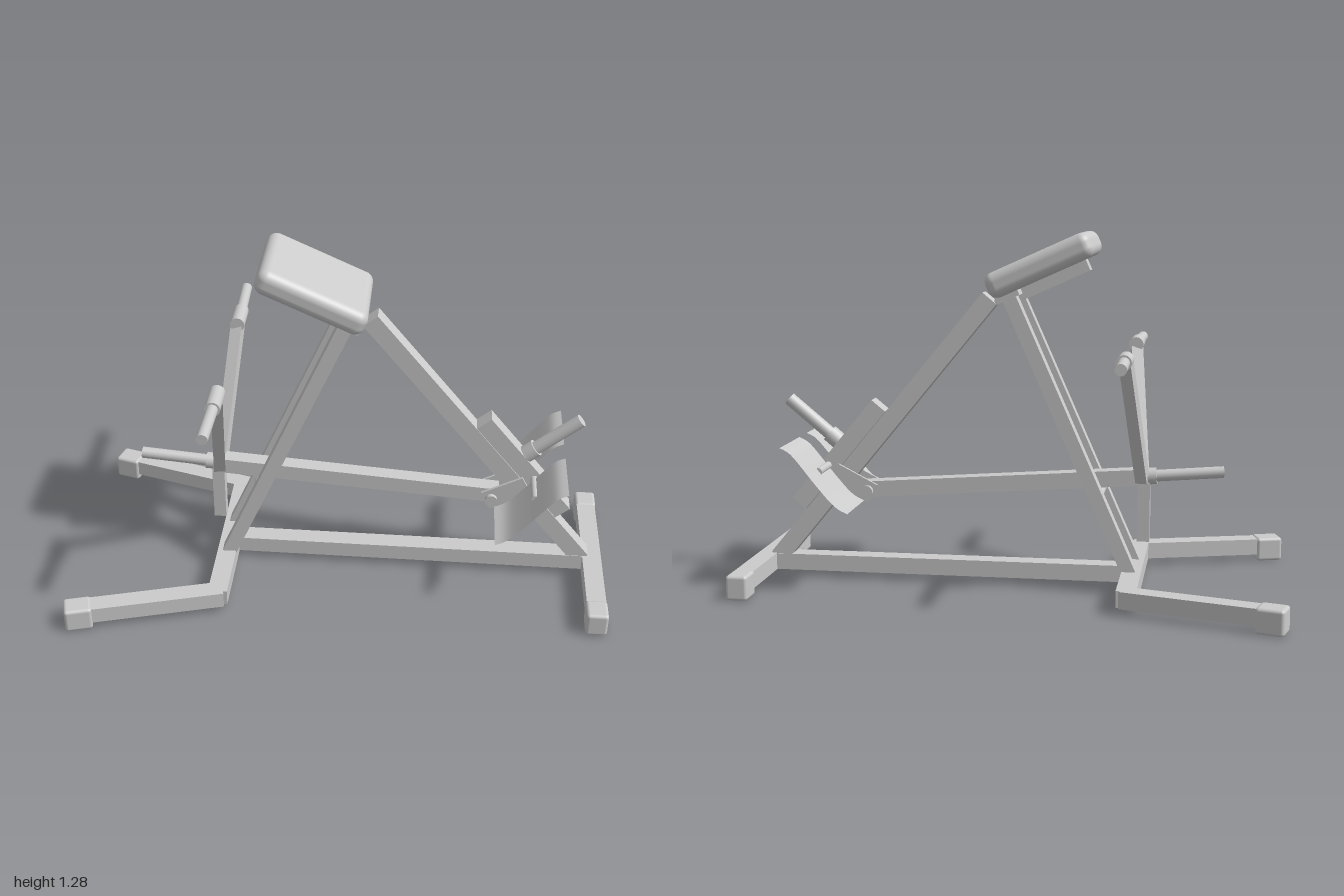
import * as THREE from 'three';
import { RoundedBoxGeometry } from 'three/addons/geometries/RoundedBoxGeometry.js';

const V = (a) => new THREE.Vector3(...a);

export function createModel() {
  const model = new THREE.Group();
  // Machine frame: x runs to the rear, z sideways; the whole is turned 45 degrees.
  const machine = new THREE.Group();
  machine.name = 'rowMachine';
  machine.rotation.y = Math.PI / 4;
  model.add(machine);
  const mat = new THREE.MeshStandardMaterial({ color: 0xcccccc });
  const thinMat = new THREE.MeshStandardMaterial({ color: 0xcccccc, side: THREE.DoubleSide });

  function add(name, geo, material = mat) {
    const mesh = new THREE.Mesh(geo, material);
    mesh.name = name;
    machine.add(mesh);
    return mesh;
  }
  function span(name, geo, a, b) {
    const mesh = new THREE.Mesh(geo, mat);
    mesh.name = name;
    mesh.position.copy(V(a)).lerp(V(b), 0.5);
    mesh.lookAt(V(b));
    machine.add(mesh);
    return mesh;
  }
  const length = (a, b) => V(a).distanceTo(V(b));
  // Square tube between two points
  const beam = (name, a, b, w, h = w) => span(name, new THREE.BoxGeometry(w, h, length(a, b)), a, b);
  // Round bar between two points
  const rod = (name, a, b, r) =>
    span(name, new THREE.CylinderGeometry(r, r, length(a, b), 20).rotateX(Math.PI / 2), a, b);
  // Soft-edged end cap or collar
  const cap = (name, a, b, w, h) => span(name, new RoundedBoxGeometry(w, h, length(a, b), 2, 0.012), a, b);

  // Base
  beam('baseRail', [-0.37, 0.055, 0], [0.99, 0.055, 0], 0.07, 0.06);
  beam('frontCrossbar', [-0.37, 0.055, -0.355], [-0.37, 0.055, 0.355], 0.07, 0.06);
  beam('rearFoot', [0.995, 0.055, -0.375], [0.995, 0.055, 0.375], 0.07, 0.062);

  // Main sloping post
  beam('rearPost', [0.15, 1.045, 0], [0.955, 0.07, 0], 0.065);

  for (const s of [-1, 1]) {
    // Splayed front legs and feet
    beam('frontLeg', [-0.355, 0.055, s * 0.335], [-0.87, 0.055, s * 0.481], 0.07, 0.06);
    cap('frontFootCap', [-0.81, 0.045, s * 0.464], [-0.905, 0.045, s * 0.491], 0.085, 0.09);
    cap('rearFootCap', [0.995, 0.045, s * 0.29], [0.995, 0.045, s * 0.382], 0.078, 0.09);

    // Uprights
    beam('upright', [-0.365, 0.07, s * 0.092], [0.07, 1.06, s * 0.085], 0.05);

    // Lifting arm with its grip
    beam('handleArm', [-0.40, 0.40, s * 0.02], [-0.355, 0.86, s * 0.265], 0.042);
    rod('gripCollar', [-0.355, 0.86, s * 0.235], [-0.355, 0.86, s * 0.35], 0.027);
    rod('grip', [-0.355, 0.86, s * 0.33], [-0.36, 0.86, s * 0.535], 0.02);

    // Pivot cheek plates and bolts
    beam('pivotPlate', [0.585, 0.325, s * 0.04], [0.73, 0.40, s * 0.04], 0.01, 0.075);
    rod('pivotBolt', [0.605, 0.335, s * 0.03], [0.605, 0.335, s * 0.06], 0.022);
  }

  // Chest pad with its support
  const tilt = -0.42;
  const pad = add('chestPad', new RoundedBoxGeometry(0.4, 0.092, 0.345, 5, 0.035));
  pad.position.set(-0.043, 1.168, 0);
  pad.rotation.z = tilt;
  beam('padSupport', [-0.2, 1.17, 0], [0.1, 1.036, 0], 0.07, 0.05);
  const plate = add('padBracket', new THREE.BoxGeometry(0.09, 0.02, 0.22));
  plate.position.set(0.075, 1.055, 0);
  plate.rotation.z = tilt;

  // Swinging lever, weight horn, drop tail and its rest
  beam('lever', [-0.42, 0.412, 0], [0.63, 0.337, 0], 0.058);
  rod('weightHorn', [-0.4, 0.41, 0], [-0.69, 0.434, 0], 0.021);
  rod('hornCollar', [-0.4, 0.41, 0], [-0.45, 0.414, 0], 0.03);
  beam('leverTail', [-0.405, 0.42, 0], [-0.405, 0.175, 0], 0.045);
  rod('leverRest', [-0.25, 0.355, -0.105], [-0.25, 0.355, 0.105], 0.016);

  // Adjustable carriage on the post, with a storage peg
  beam('footCarriage', [0.562, 0.65, 0], [0.87, 0.278, 0], 0.065);
  rod('storagePeg', [0.69, 0.485, 0], [0.905, 0.665, 0], 0.024);
  rod('pegCollar', [0.7, 0.493, 0], [0.755, 0.54, 0], 0.032);
  rod('footPlateAxle', [0.755, 0.425, -0.16], [0.755, 0.425, 0.16], 0.014);

  // Curved foot plates: a profile swept sideways
  const profile = new THREE.SplineCurve([
    [0.618, 0.3], [0.665, 0.327], [0.73, 0.4], [0.79, 0.475], [0.825, 0.513], [0.858, 0.53],
  ].map((p) => new THREE.Vector2(...p)));
  for (const s of [-1, 1]) {
    const geo = new THREE.PlaneGeometry(1, 1, 20, 1);
    const pos = geo.attributes.position;
    for (let i = 0; i < pos.count; i++) {
      const p = profile.getPoint(pos.getX(i) + 0.5);
      pos.setXYZ(i, p.x, p.y, s * 0.16 - pos.getY(i) * 0.23);
    }
    geo.computeVertexNormals();
    add('footPlate', geo, thinMat);
  }
  return model;
}
